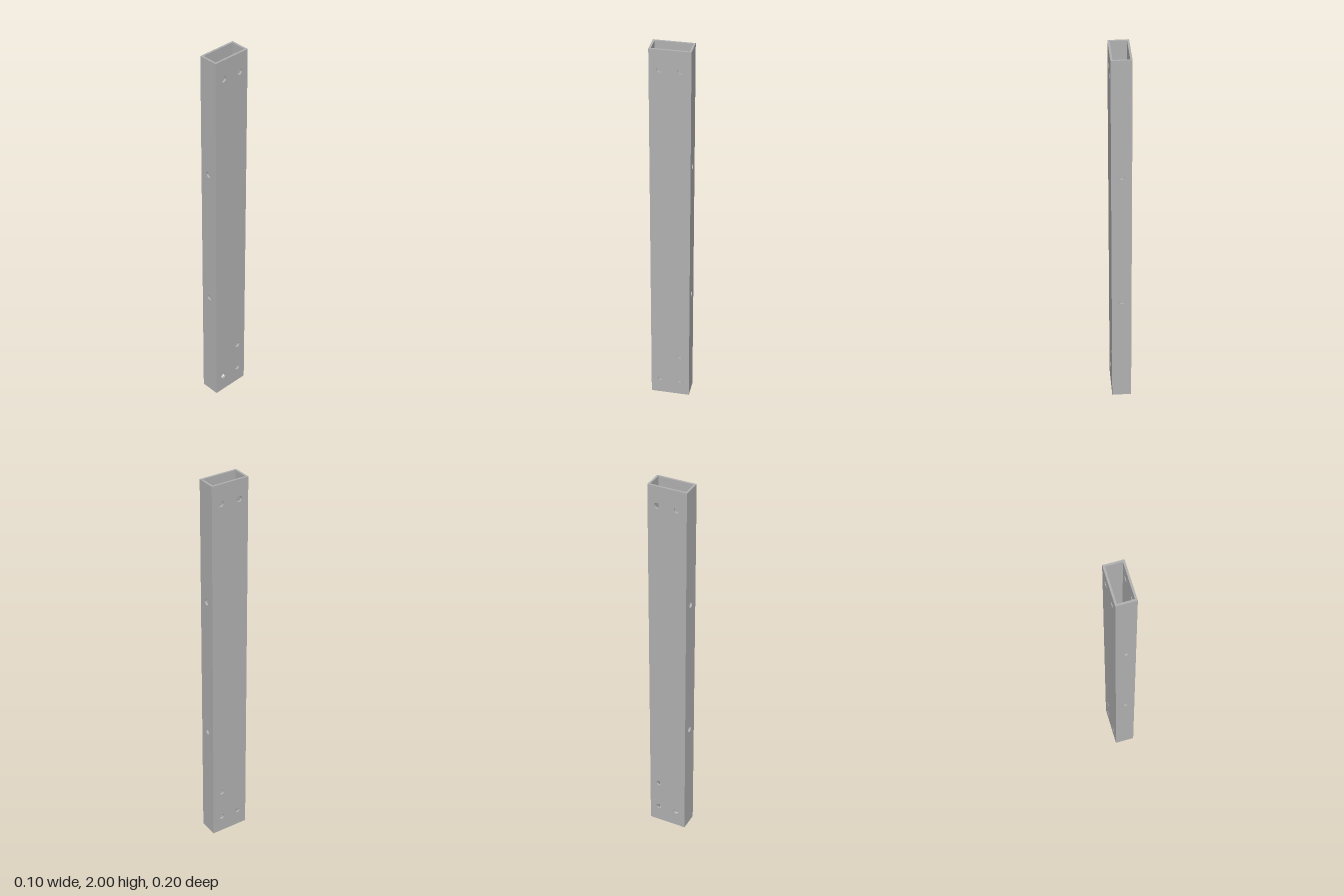
import * as THREE from 'three';
import { mergeGeometries } from 'three/addons/utils/BufferGeometryUtils.js';

const W = 0.1, D = 0.2, H = 2, T = 0.01, R = 0.015;

// Turn a surface to face the other way
function flip(geo) {
  geo.index.array.reverse();
  geo.computeVertexNormals();
  return geo;
}

// Flat wall face with round holes at [u, y]
function face(width, holes) {
  const s = new THREE.Shape();
  s.moveTo(-width / 2, 0).lineTo(width / 2, 0).lineTo(width / 2, H).lineTo(-width / 2, H).closePath();
  for (const [u, y] of holes) s.holes.push(new THREE.Path().absarc(u, y, R, 0, Math.PI * 2, true));
  return new THREE.ShapeGeometry(s, 12);
}

// One tube wall: outer skin, inner skin and the bores of its holes, facing +z
function wall(width, offset, holes) {
  const parts = [
    face(width, holes).translate(0, 0, offset),
    flip(face(width - 2 * T, holes)).translate(0, 0, offset - T),
  ];
  for (const [u, y] of holes) {
    const bore = flip(new THREE.CylinderGeometry(R, R, T, 24, 1, true));
    parts.push(bore.rotateX(Math.PI / 2).translate(u, y, offset - T / 2));
  }
  return mergeGeometries(parts);
}

// Rectangular end rim of the tube, facing up
function rim() {
  const rect = (p, x, y) => p.moveTo(-x, -y).lineTo(x, -y).lineTo(x, y).lineTo(-x, y).closePath();
  const s = rect(new THREE.Shape(), W / 2, D / 2);
  s.holes.push(rect(new THREE.Path(), W / 2 - T, D / 2 - T));
  return new THREE.ShapeGeometry(s).rotateX(-Math.PI / 2);
}

export function createModel() {
  const steel = new THREE.MeshStandardMaterial({ color: 0xb2b2b2 });
  steel.name = 'grey steel';
  const model = new THREE.Group();
  model.name = 'drilledBoxTube';
  const add = (name, geo) => {
    const mesh = new THREE.Mesh(geo, steel);
    mesh.name = name;
    model.add(mesh);
  };

  // Narrow walls with two through holes
  const narrow = [[0, 0.625], [0, 1.377]];
  add('frontWall', wall(W, D / 2, narrow));
  add('backWall', wall(W, D / 2, narrow).rotateY(Math.PI));

  // Wide walls with matching mounting holes, given as [z, y]
  const wide = [[0.05, 1.9], [-0.05, 1.9], [-0.05, 0.25], [0.05, 0.09], [-0.05, 0.09]];
  add('leftWall', wall(D, W / 2, wide.map(([z, y]) => [-z, y])).rotateY(Math.PI / 2));
  add('rightWall', wall(D, W / 2, wide).rotateY(-Math.PI / 2));

  // Open ends
  add('topRim', rim().translate(0, H, 0));
  add('bottomRim', rim().rotateX(Math.PI));

  // The tube leans very slightly toward +x
  model.rotation.z = -0.001;
  model.position.x = -0.001;
  return model;
}
